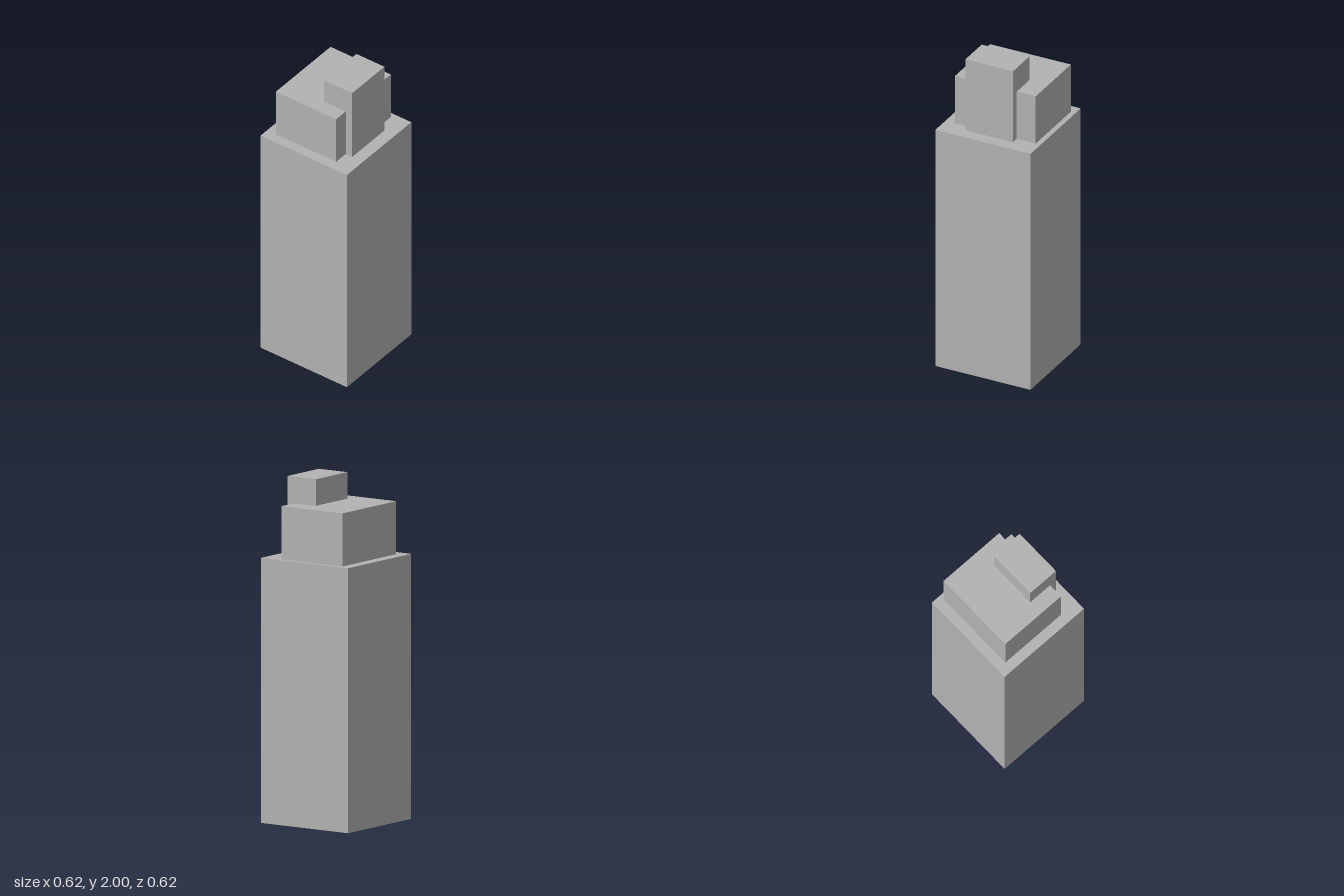
import * as THREE from 'three';

export function createModel() {
  const model = new THREE.Group();
  model.name = 'towerBlock';
  const concrete = new THREE.MeshStandardMaterial({ color: 0xb2b2b2 });
  concrete.name = 'concrete grey';

  // Box given by its lower and upper corners
  function addBlock(name, [x0, y0, z0], [x1, y1, z1]) {
    const mesh = new THREE.Mesh(new THREE.BoxGeometry(x1 - x0, y1 - y0, z1 - z0), concrete);
    mesh.position.set((x0 + x1) / 2, (y0 + y1) / 2, (z0 + z1) / 2);
    mesh.name = name;
    model.add(mesh);
  }

  const roof = 1.538;
  // Main shaft of the tower
  addBlock('mainTower', [-0.308, 0, -0.308], [0.308, roof, 0.308]);
  // Set-back upper storey
  addBlock('upperStorey', [-0.246, roof, -0.277], [0.185, 1.846, 0.246]);
  // Taller service core, standing proud of the upper storey on its left side
  addBlock('serviceCore', [0.031, roof, -0.154], [0.231, 2, 0.154]);

  return model;
}
